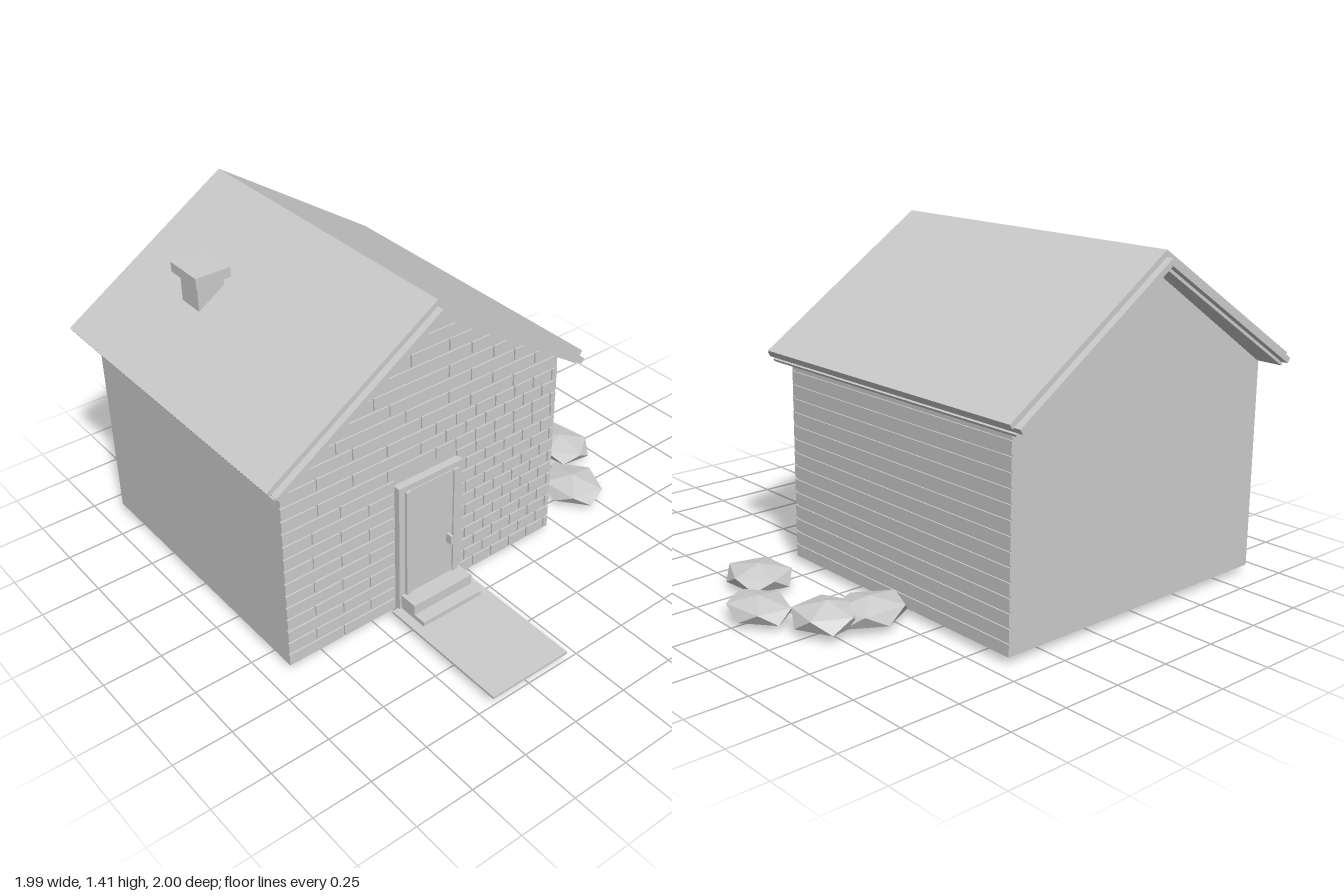
import * as THREE from 'three';
import { mergeGeometries } from 'three/addons/utils/BufferGeometryUtils.js';

const RIDGE_X = -0.245;

export function createModel() {
  const house = new THREE.Group();
  house.name = 'house';
  const grey = new THREE.MeshStandardMaterial({ color: 0xcccccc, flatShading: true });
  grey.name = 'plain grey';

  const add = (name, geometry) => {
    const mesh = new THREE.Mesh(geometry, grey);
    mesh.name = name;
    house.add(mesh);
    return mesh;
  };
  // Box from its minimum and maximum corners
  const box = (x0, x1, y0, y1, z0, z1) =>
    new THREE.BoxGeometry(x1 - x0, y1 - y0, z1 - z0)
      .translate((x0 + x1) / 2, (y0 + y1) / 2, (z0 + z1) / 2);
  // Outline in x,y pulled from z0 to z1
  const prism = (points, z0, z1) =>
    new THREE.ExtrudeGeometry(new THREE.Shape(points.map(p => new THREE.Vector2(...p))),
      { depth: z1 - z0, bevelEnabled: false }).translate(0, 0, z0);

  // Walls with gables
  add('walls', prism([[-0.91, 0.03], [0.424, 0.03], [0.424, 0.89],
    [RIDGE_X, 1.338], [-0.91, 0.89]], -0.9, 0.376));

  // Brick courses on the front, narrowing into the gable and split by the door
  const bricks = [];
  const course = 0.058, joint = 0.008;
  const layRow = (x0, x1, y0, y1, length, shift) => {
    let a = x0;
    let b = x0 + length * shift;
    while (a < x1 - 0.012) {
      if (x1 - b < 0.02) b = x1;
      bricks.push(box(a, Math.min(b, x1) - (b < x1 ? joint : 0), y0, y1, 0.374, 0.383));
      a = b;
      b += length;
    }
  };
  for (let row = 0; row < 22; row++) {
    const y0 = 0.03 + row * course, y1 = y0 + course - joint;
    const k = Math.min(1, (1.338 - y1) / (1.338 - 0.89));
    const left = RIDGE_X + (-0.91 - RIDGE_X) * k;
    const right = RIDGE_X + (0.43 - RIDGE_X) * k;
    const shift = row % 2 ? 0.5 : 1;
    if (y0 < 0.63) {
      layRow(left, -0.4, y0, y1, 0.26, shift);
      layRow(-0.09, right, y0, y1, 0.1, shift);
    } else {
      layRow(left, RIDGE_X, y0, y1, 0.32, shift);
      layRow(RIDGE_X, right, y0, y1, k < 1 ? 0.22 : 0.1, shift);
    }
  }
  add('frontBricks', mergeGeometries(bricks));

  // Horizontal siding boards on the model's left wall
  const boards = [];
  for (let i = 0; i < 15; i++) {
    const y0 = 0.03 + i * 0.0573;
    boards.push(box(0.422, 0.43, y0, y0 + 0.049, -0.9, 0.38));
  }
  add('sideBoards', mergeGeometries(boards));

  // Roof layers: t0 and t1 are depths below the top surface, inset trims the eaves
  const roofLayer = (name, t0, t1, inset, z0, z1) => {
    const nx = 0.55, ny = 0.835;
    const at = (side, t) => [
      side * (0.752 - inset * ny - t * nx) + RIDGE_X,
      (side < 0 ? 0.925 : 0.91) + inset * nx - t * ny];
    const top = [RIDGE_X, 1.41 - t0 / ny], bottom = [RIDGE_X, 1.41 - t1 / ny];
    add(name, prism([at(-1, t0), at(-1, t1), bottom, at(1, t1), at(1, t0), top], z0, z1));
  };
  roofLayer('roofCovering', 0, 0.022, 0, -0.97, 0.44);
  roofLayer('bargeBoards', 0.022, 0.046, 0.008, -1, 0.47);
  roofLayer('roofUnderside', 0.046, 0.058, 0, -0.97, 0.44);

  // Chimney
  add('chimneyStack', box(-0.69, -0.57, 1.04, 1.25, -0.57, -0.45));
  add('chimneyCap', box(-0.71, -0.555, 1.243, 1.285, -0.6, -0.42));

  // Door with stepped frame
  add('doorFrame', mergeGeometries([
    box(-0.4, -0.37, 0, 0.635, 0.37, 0.41),
    box(-0.115, -0.085, 0, 0.635, 0.37, 0.41),
    box(-0.37, -0.115, 0.61, 0.635, 0.37, 0.41),
    box(-0.37, -0.115, 0, 0.06, 0.37, 0.41)]));
  add('doorInnerFrame', mergeGeometries([
    box(-0.372, -0.35, 0.06, 0.612, 0.37, 0.423),
    box(-0.137, -0.113, 0.06, 0.612, 0.37, 0.423)]));
  add('door', box(-0.35, -0.12, 0.1, 0.61, 0.37, 0.415));
  add('doorHandle', box(-0.167, -0.155, 0.27, 0.312, 0.41, 0.445));

  // Steps and path
  add('upperStep', box(-0.39, -0.095, 0.06, 0.108, 0.37, 0.49));
  add('lowerStep', box(-0.39, -0.095, 0.035, 0.063, 0.37, 0.548));
  add('path', box(-0.43, -0.053, 0.031, 0.042, 0.4, 1));

  // Low faceted bushes: x, y, z, radii, turn
  const bushes = [
    [0.585, 0.06, -0.305, 0.18, 0.057, 0.14, 0.3],
    [0.74, 0.063, -0.25, 0.15, 0.059, 0.15, 1.1],
    [0.875, 0.05, 0, 0.13, 0.05, 0.17, 0.2],
    [0.7, 0.052, 0.262, 0.14, 0.051, 0.165, 0.75]];
  bushes.forEach(([x, y, z, rx, ry, rz, turn], i) => {
    const rock = new THREE.IcosahedronGeometry(1, 0)
      .rotateZ(Math.atan(2 / (1 + Math.sqrt(5))))
      .rotateY(turn).scale(rx, ry, rz).translate(x, y, z);
    add('bush' + (i + 1), rock);
  });

  return house;
}
